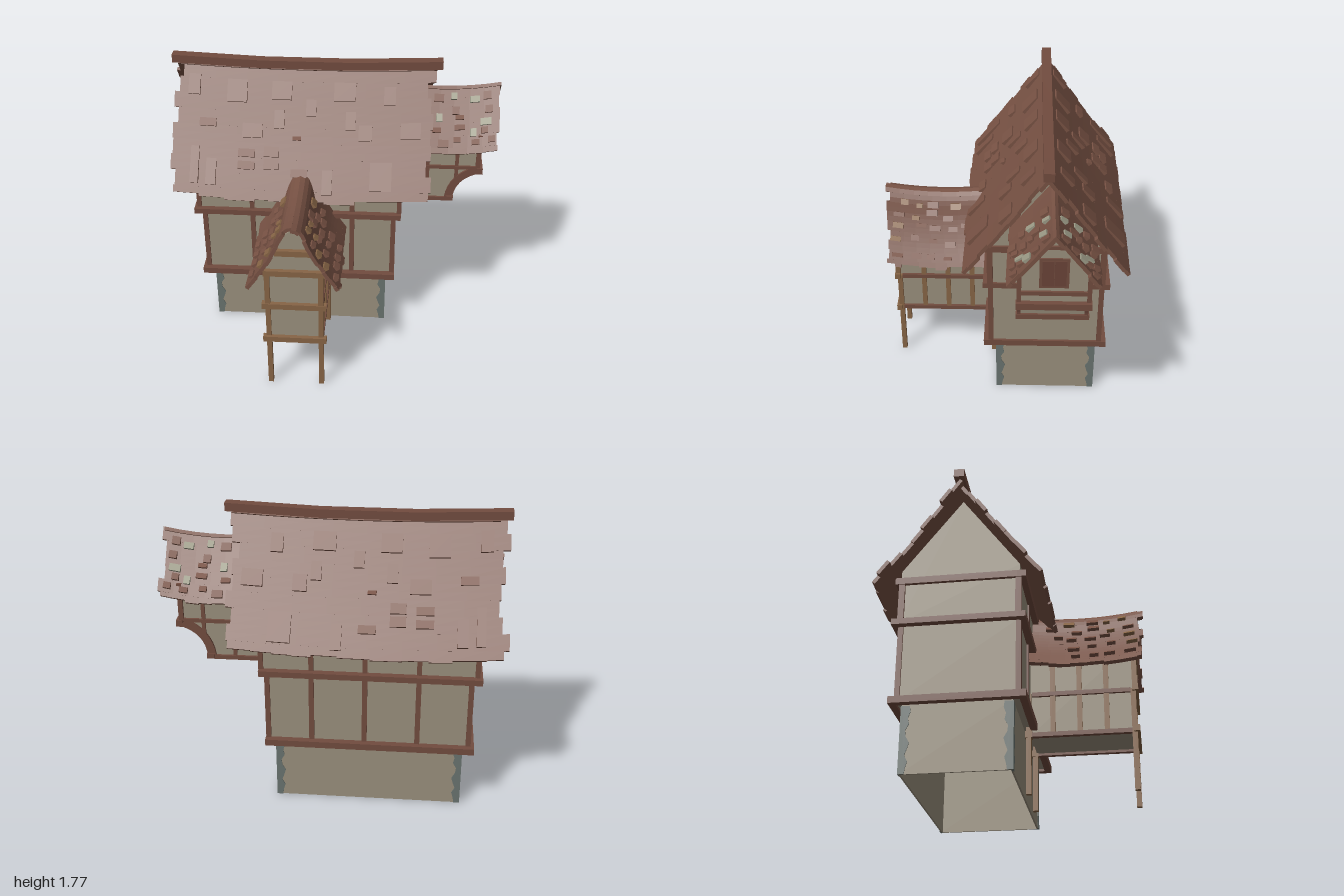
import * as THREE from 'three';
import { mergeGeometries } from 'three/addons/utils/BufferGeometryUtils.js';

const paint = (name, color, side = THREE.FrontSide) => {
  const m = new THREE.MeshStandardMaterial({ color, side });
  m.name = name;
  return m;
};

export function createModel() {
  const plaster = paint('plaster', 0x9a907d, THREE.DoubleSide);
  const timber = paint('red timber', 0x724c3f);
  const oak = paint('tan timber', 0x876546);
  const slate = paint('corner stone', 0x69736f);
  const tile = paint('roof tile', 0x785244);
  const paleTile = paint('pale tile', 0x9b9a86);
  const shutterMat = paint('shutter', 0x6a4438);

  const model = new THREE.Group();
  model.name = 'timberHouse';
  let seed = 7;
  const rand = (a = 0, b = 1) => {
    seed = (seed * 16807) % 2147483647;
    return a + (b - a) * (seed / 2147483647);
  };
  const add = (name, geo, mat, parent = model) => {
    const mesh = new THREE.Mesh(geo, mat);
    mesh.name = name;
    parent.add(mesh);
    return mesh;
  };
  // Box given by its limits on each axis
  const box = (name, mat, x0, x1, y0, y1, z0, z1) =>
    add(name, new THREE.BoxGeometry(x1 - x0, y1 - y0, z1 - z0)
      .translate((x0 + x1) / 2, (y0 + y1) / 2, (z0 + z1) / 2), mat);
  // Outline in x,y pushed from z0 to z1
  const prism = (name, mat, pts, z0, z1) =>
    add(name, new THREE.ExtrudeGeometry(new THREE.Shape(pts.map(p => new THREE.Vector2(...p))),
      { depth: z1 - z0, bevelEnabled: false }).translate(0, 0, z0), mat);
  // Outline in z,y pushed from x0 to x1
  const prismX = (name, mat, pts, x0, x1) => {
    const m = prism(name, mat, pts.map(([z, y]) => [-z, y]), x0, x1);
    m.geometry.rotateY(Math.PI / 2);
    return m;
  };
  // Four beams round a rectangle
  const ring = (name, x0, x1, y0, y1, z0, z1, w = 0.04) => {
    box(name, timber, x0, x1, y0, y1, z1 - w, z1);
    box(name, timber, x0, x1, y0, y1, z0, z0 + w);
    box(name, timber, x0, x0 + w, y0, y1, z0 + w, z1 - w);
    box(name, timber, x1 - w, x1, y0, y1, z0 + w, z1 - w);
  };

  // Stone base, open below
  for (const x of [-0.775, 0.315]) box('baseSideWall', plaster, x, x + 0.01, 0, 0.4, -0.57, 0.04);
  for (const z of [-0.57, 0.03]) box('baseWall', plaster, -0.765, 0.315, 0, 0.4, z, z + 0.01);
  const widths = [0.035, 0.04, 0.05, 0.032, 0.045, 0.055, 0.035, 0.03, 0.05, 0.042, 0.055, 0.05];
  for (const sx of [-1, 1]) for (const sz of [-1, 1]) {
    const cx = sx > 0 ? 0.33 : -0.78, cz = sz > 0 ? 0.045 : -0.575;
    const edge = s => [[s, 0], ...widths.map((w, i) => [s - w, i * 0.39 / 11]), [s, 0.39]];
    const ex = edge(0).map(([a, y]) => [cx + sx * a, y]);
    const ez = edge(0).map(([a, y]) => [cz + sz * a, y]);
    prism('cornerStone', slate, ex, Math.min(cz, cz - sz * 0.012), Math.max(cz, cz - sz * 0.012));
    prismX('cornerStone', slate, ez, Math.min(cx, cx - sx * 0.012), Math.max(cx, cx - sx * 0.012));
  }

  // Main storeys
  box('middleStorey', plaster, -0.815, 0.37, 0.4, 0.87, -0.595, 0.08);
  prismX('upperStorey', plaster, [[0.085, 0.87], [0.085, 1.2], [-0.25, 1.65], [-0.595, 1.2], [-0.595, 0.87]], -0.84, 0.4);
  ring('lowerSill', -0.845, 0.385, 0.385, 0.425, -0.635, 0.12);
  ring('upperSill', -0.87, 0.412, 0.85, 0.885, -0.635, 0.12);
  ring('eavesBeam', -0.86, 0.415, 1.11, 1.15, -0.625, 0.12, 0.05);
  for (const [i, x] of [-0.81, -0.51, -0.2, 0.11, 0.367].entries()) {
    const xu = [-0.84, -0.51, -0.2, 0.11, 0.4][i];
    for (const z of [-0.605, 0.06]) {
      box('middlePost', timber, x - 0.015, x + 0.015, 0.42, 0.855, z, z + 0.03);
      box('upperPost', timber, xu - 0.014, xu + 0.014, 0.88, 1.14, z, z + 0.035);
    }
  }

  // Side bay with a hollow curved underside
  const cove = new THREE.QuadraticBezierCurve(new THREE.Vector2(0.72, 0.9),
    new THREE.Vector2(0.73, 1.05), new THREE.Vector2(0.875, 1.09)).getPoints(8).map(p => [p.x, p.y]);
  prism('bayBody', plaster, [[0.38, 0.885], [0.72, 0.885], ...cove, [0.875, 1.2], [0.38, 1.2]], -0.475, -0.1);
  prismX('bayGable', plaster, [[-0.1, 1.15], [-0.1, 1.32], [-0.285, 1.55], [-0.475, 1.32], [-0.475, 1.15]], 0.3, 0.875);
  for (const z of [-0.488, -0.108]) {
    const inner = cove.map(([x, y], i) => [x - 0.04 + 0.02 * i / 8, y + 0.035 * i / 8]).reverse();
    prism('bayBrace', timber, [...cove.map(([x, y]) => [x + 0.01, y - 0.008]), ...inner], z, z + 0.02);
    box('bayFloorBeam', timber, 0.4, 0.72, 0.875, 0.9, z, z + 0.02);
    box('bayRail', timber, 0.4, 0.87, 1.108, 1.13, z, z + 0.02);
    for (const x of [0.567, 0.745])
      box('bayPost', timber, x - 0.011, x + 0.011, x < 0.6 ? 0.89 : 1.03, 1.32, z + 0.002, z + 0.018);
    box('bayCornerPost', timber, 0.86, 0.888, 1.08, 1.35, z - 0.002, z + 0.022);
  }
  box('bayFloorEdge', timber, 0.69, 0.735, 0.88, 0.912, -0.495, -0.08);
  box('bayOverhangBeam', timber, 0.865, 0.905, 1.08, 1.12, -0.495, -0.08);
  box('bayWindowSill', timber, 0.87, 0.888, 1.165, 1.19, -0.475, -0.1);
  box('bayCollarBeam', timber, 0.87, 0.888, 1.465, 1.485, -0.36, -0.21);
  // Bay window with two shutters
  box('windowFrame', timber, 0.872, 0.884, 1.215, 1.405, -0.365, -0.205);
  for (const z of [-0.35, -0.283]) box('shutter', shutterMat, 0.88, 0.889, 1.23, 1.39, z, z + 0.063);

  // Porch on legs
  box('porchRoom', plaster, -0.35, -0.045, 0.355, 0.9, 0.08, 0.68);
  prism('porchGable', plaster, [[-0.36, 0.87], [-0.285, 1.02], [-0.245, 1.11], [-0.2, 1.15],
    [-0.155, 1.11], [-0.115, 1.02], [-0.04, 0.87]], 0.62, 0.68);
  for (const x of [-0.352, -0.04]) {
    for (const z of [0.055, 0.66]) box('porchLeg', oak, x - 0.015, x + 0.015, 0, 0.61, z, z + 0.03);
    box('porchUpperPost', oak, x - 0.015, x + 0.015, 0.61, 0.85, 0.67, 0.7);
    for (const z of [0.52, 0.365, 0.21]) box('porchStud', oak, x - 0.01, x + 0.01, 0.36, 0.86, z - 0.015, z + 0.015);
    for (const y of [0.34, 0.59]) box('porchSideRail', timber, x - 0.014, x + 0.014, y, y + 0.026, 0.09, 0.66);
    box('porchRailEnd', oak, x - 0.02, x + 0.02, 0.335, 0.375, 0.05, 0.09);
  }
  for (const [y, w] of [[0.34, 0.19], [0.592, 0.19], [0.835, 0.175], [0.98, 0.105]])
    box('porchFrontRail', oak, -0.197 - w, -0.197 + w, y, y + 0.037, 0.67, 0.705);

  // Sagging roof with ragged ends: ridge along local x, one profile of [distance, height] for both slopes
  const roof = (name, { at, turn = 0, profile, half, sag, rows, jag, tiles, step }) => {
    const group = new THREE.Group();
    group.name = name;
    group.position.set(...at);
    group.rotation.y = turn;
    model.add(group);
    const curve = new THREE.CatmullRomCurve3(profile.map(([d, y]) => new THREE.Vector3(0, y, d)));
    const length = curve.getLength();
    const place = (u, s, h) => {
      const c = Math.min(s, 1), p = curve.getPointAt(c), t = curve.getTangentAt(c);
      p.addScaledVector(t, (s - c) * length);
      const drop = sag * (1 - (u / half) ** 2);
      return [u, p.y + t.z * h - drop, p.z - t.y * h];
    };
    const slab = (u0, u1, s0, s1, h0, h1, lift, nu, ns) => {
      const g = new THREE.BoxGeometry(1, 1, 1, nu, 1, ns), p = g.attributes.position;
      for (let i = 0; i < p.count; i++) {
        const b = p.getZ(i) + 0.5, top = p.getY(i) > 0;
        p.setXYZ(i, ...place(u0 + (u1 - u0) * (p.getX(i) + 0.5), s0 + (s1 - s0) * b, top ? h1 + lift * b : h0));
      }
      const flat = g.toNonIndexed();
      flat.computeVertexNormals();
      return flat;
    };
    for (const dir of [1, -1]) {
      const slope = new THREE.Group();
      slope.name = dir > 0 ? 'frontSlope' : 'backSlope';
      if (dir < 0) slope.rotation.y = Math.PI;
      group.add(slope);
      const parts = [];
      for (let r = 0; r < rows; r++)
        parts.push(slab(-half - rand(-jag, jag), half + rand(-jag, jag), r / rows * 0.94, (r + 1) / rows * 0.94, -0.022, 0, 0, 8, 2));
      // Ragged eaves
      for (let u = -half; u < half - 0.01;) {
        const next = Math.min(half, u + rand(0.5, 1.5) * step);
        parts.push(slab(u, next, 0.94, rand(0.99, 1.035), -0.022, 0, 0, 1, 1));
        u = next;
      }
      add('roofCover', mergeGeometries(parts), tile, slope);
      // Raised loose tiles
      for (const [u, s, w, ds, mat = tile] of tiles)
        add('raisedTile', slab(dir * u - w / 2, dir * u + w / 2, s - ds / 2, s + ds / 2, -0.005, 0.009, 0.014, 1, 1), mat, slope);
    }
    return group;
  };
  // Jittered grid of small tiles
  const scatter = (u0, u1, nu, ns, w, ds, accent) => {
    const out = [];
    for (let i = 0; i < nu; i++) for (let j = 0; j < ns; j++) {
      if (rand() < 0.15) continue;
      const k = rand();
      const mat = k < 0.22 ? accent : tile;
      out.push([u0 + (u1 - u0) * (i + rand(0.2, 0.8)) / nu, 0.12 + 0.8 * (j + rand(0.2, 0.8)) / ns,
        w * rand(0.7, 1.3), ds * rand(0.7, 1.3), mat]);
    }
    return out;
  };

  // Main roof: loose tiles as x, y, width, height
  const loose = [
    [-0.86, 1.61, 0.07, 0.1], [-0.6, 1.59, 0.12, 0.11], [-0.33, 1.6, 0.12, 0.09], [0.05, 1.6, 0.13, 0.09],
    [0.32, 1.58, 0.07, 0.09], [-0.77, 1.43, 0.1, 0.04], [-0.5, 1.4, 0.12, 0.07], [-0.34, 1.46, 0.06, 0.09],
    [-0.15, 1.52, 0.06, 0.08], [-0.23, 1.37, 0.05, 0.02], [0.09, 1.46, 0.06, 0.09], [0.18, 1.4, 0.08, 0.08],
    [0.45, 1.41, 0.12, 0.08], [-0.38, 1.3, 0.09, 0.05], [-0.38, 1.24, 0.09, 0.05], [-0.53, 1.29, 0.1, 0.04],
    [-0.53, 1.23, 0.1, 0.04], [-0.84, 1.22, 0.05, 0.18], [-0.74, 1.19, 0.06, 0.13], [-0.21, 1.2, 0.1, 0.04],
    [-0.04, 1.16, 0.06, 0.12], [0.28, 1.19, 0.13, 0.14]];
  const main = roof('mainRoof', {
    at: [-0.2, 0, -0.25], profile: [[0, 1.72], [0.25, 1.375], [0.48, 1.075]], half: 0.765, sag: 0.022,
    rows: 8, jag: 0.035, step: 0.13, tiles: loose.map(([x, y, w, h]) => [x + 0.2, (1.72 - y) / 0.645, w, h / 0.645]) });
  const ridge = new THREE.BoxGeometry(1.63, 0.05, 0.06, 3, 1, 1).translate(0.015, 1.743, 0);
  const rp = ridge.attributes.position;
  for (let i = 0; i < rp.count; i++) rp.setY(i, rp.getY(i) - 0.025 * (1 - (rp.getX(i) / 0.815) ** 2));
  ridge.computeVertexNormals();
  add('ridgeBeam', ridge, timber, main);

  roof('bayRoof', {
    at: [0.62, 0, -0.285], profile: [[0, 1.615], [0.12, 1.46], [0.25, 1.295]], half: 0.355, sag: 0.035,
    rows: 5, jag: 0.018, step: 0.08, tiles: scatter(-0.04, 0.34, 4, 5, 0.05, 0.1, paleTile) });

  roof('porchRoof', {
    at: [-0.197, 0, 0.38], turn: -Math.PI / 2,
    profile: [[0, 1.195], [0.035, 1.185], [0.065, 1.15], [0.11, 1.04], [0.18, 0.91], [0.27, 0.775]],
    half: 0.355, sag: 0.03, rows: 8, jag: 0.02, step: 0.08, tiles: scatter(-0.22, 0.33, 5, 5, 0.055, 0.06, oak) });

  return model;
}
